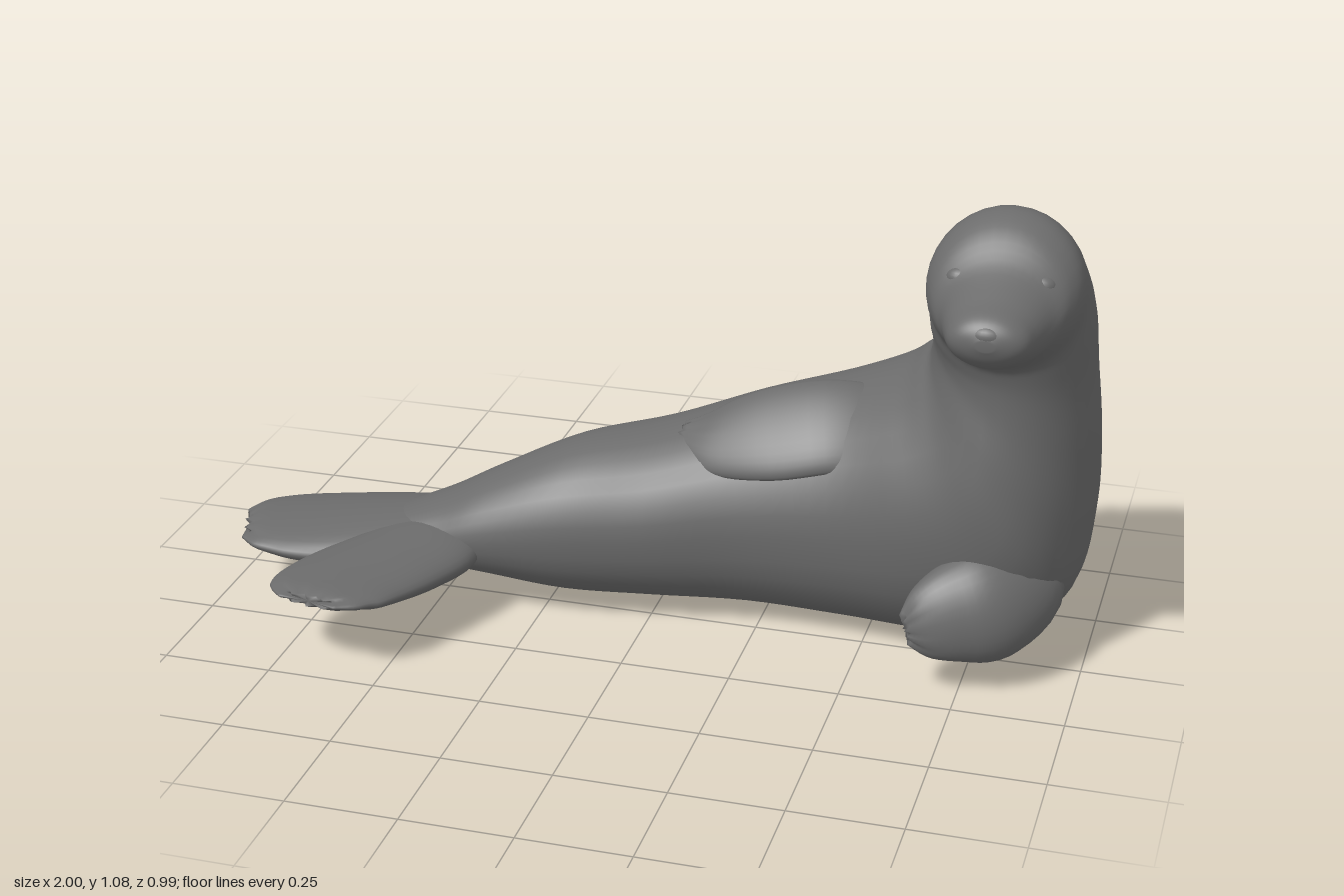
import * as THREE from 'three';

const SEG = 32, SUB = 5;
const material = new THREE.MeshStandardMaterial({ color: 0x6b6b6b });
const V = (x, y, z) => new THREE.Vector3(x, y, z);

// Smoothly resample rows of numbers with a Catmull-Rom spline
function resample(rows) {
  const out = [], n = rows.length;
  const at = i => rows[Math.min(n - 1, Math.max(0, i))];
  for (let i = 0; i < n - 1; i++) {
    for (let s = 0; s < SUB; s++) {
      const t = s / SUB;
      out.push(rows[i].map((p1, k) => {
        const p0 = at(i - 1)[k], p2 = at(i + 1)[k], p3 = at(i + 2)[k];
        return 0.5 * (2 * p1 + (p2 - p0) * t + (2 * p0 - 5 * p1 + 4 * p2 - p3) * t * t
          + (3 * p1 - p0 - 3 * p2 + p3) * t * t * t);
      }));
    }
  }
  out.push(rows[n - 1]);
  return out;
}

// Skin elliptical rings { c, a, b }; a x b points along the travel.
// A power below 1 makes the outer half of the ring fuller.
function loft(name, rings) {
  const pos = [], index = [], last = rings.length - 1;
  rings.forEach(({ c, a, b, power = 1, bend }) => {
    for (let j = 0; j < SEG; j++) {
      const t = j / SEG * Math.PI * 2, e = Math.cos(t) < 0 ? power : 1;
      const full = v => Math.sign(v) * Math.abs(v) ** e;
      const p = c.clone().addScaledVector(a, full(Math.cos(t))).addScaledVector(b, full(Math.sin(t)));
      if (bend) p.add(bend(Math.sin(t)));
      pos.push(p.x, p.y, p.z);
    }
  });
  for (let i = 0; i < last; i++) {
    for (let j = 0; j < SEG; j++) {
      const k = (j + 1) % SEG, p = i * SEG, q = p + SEG;
      index.push(p + j, p + k, q + j, p + k, q + k, q + j);
    }
  }
  // End caps
  const first = pos.length / 3;
  pos.push(...rings[0].c.toArray(), ...rings[last].c.toArray());
  for (let j = 0; j < SEG; j++) {
    const k = (j + 1) % SEG, q = last * SEG;
    index.push(first, k, j, first + 1, q + j, q + k);
  }
  const g = new THREE.BufferGeometry();
  g.setAttribute('position', new THREE.Float32BufferAttribute(pos, 3));
  g.setIndex(index);
  g.computeVertexNormals();
  const mesh = new THREE.Mesh(g, material);
  mesh.name = name;
  return mesh;
}

// Paddle along rows of [x, y, z, half width, half thickness], with toe scallops at the tip
function flipper(name, rows, normal, toe) {
  const pts = resample(rows), n = pts.length;
  const at = i => V(...pts[Math.min(n - 1, Math.max(0, i))].slice(0, 3));
  return loft(name, pts.map((r, i) => {
    const dir = at(i + 1).sub(at(i - 1)).normalize();
    const a = normal.clone().addScaledVector(dir, -normal.dot(dir)).normalize();
    const b = dir.clone().cross(a);
    const f = toe * Math.max(0, (i / (n - 1) - 0.7) / 0.3);
    return {
      c: at(i), a: a.multiplyScalar(r[4]), b: b.multiplyScalar(r[3]),
      bend: s => dir.clone().multiplyScalar(f * Math.cos(s * Math.PI * 4)),
    };
  }));
}

export function createModel() {
  const group = new THREE.Group();
  group.name = 'seal';

  // Sections: inner x, y, outer x, y, back z, front z, drop of the front edge, power
  const trunk = [
    [-0.74, 0.16, -0.74, 0.115, -0.06, 0.08, 0, 1],
    [-0.62, 0.20, -0.62, 0.08, -0.10, 0.11, 0, 1],
    [-0.50, 0.25, -0.50, 0.077, -0.135, 0.12, 0, 1],
    [-0.38, 0.315, -0.38, 0.065, -0.175, 0.13, 0, 0.95],
    [-0.20, 0.395, -0.20, 0.035, -0.26, 0.125, 0, 0.9],
    [0.00, 0.435, 0.00, 0.022, -0.36, 0.095, 0, 0.88],
    [0.20, 0.50, 0.22, 0.012, -0.44, 0.06, 0, 0.86],
    [0.40, 0.565, 0.45, 0.002, -0.485, 0.07, 0, 0.86],
    [0.535, 0.63, 0.68, 0.01, -0.497, 0.115, 0, 0.86],
    [0.585, 0.67, 0.86, 0.055, -0.485, 0.133, 0, 0.88],
    [0.605, 0.69, 0.96, 0.155, -0.47, 0.14, 0, 0.92],
    [0.612, 0.715, 0.993, 0.33, -0.44, 0.13, 0, 0.97],
    [0.615, 0.745, 0.993, 0.52, -0.385, 0.115, -0.01, 1],
    [0.615, 0.785, 0.98, 0.69, -0.32, 0.113, -0.045, 1],
  ];
  const head = [
    [0.615, 0.83, 0.975, 0.81, -0.24, 0.12, -0.085, 1],
    [0.62, 0.885, 0.965, 0.88, -0.15, 0.132, -0.122, 1],
    [0.625, 0.93, 0.96, 0.93, -0.02, 0.157, -0.15, 1],
    [0.645, 0.928, 0.94, 0.928, 0.07, 0.185, -0.135, 1],
    [0.675, 0.90, 0.913, 0.90, 0.145, 0.215, -0.1, 1],
    [0.695, 0.889, 0.89, 0.889, 0.225, 0.255, -0.073, 1],
    [0.71, 0.887, 0.877, 0.887, 0.28, 0.283, -0.056, 1],
    [0.735, 0.888, 0.853, 0.888, 0.304, 0.303, -0.036, 1],
    [0.775, 0.889, 0.813, 0.889, 0.315, 0.315, -0.012, 1],
  ];
  group.add(loft('body', resample([...trunk, ...head]).map(([ix, iy, ox, oy, z0, z1, drop, power]) => ({
    c: V((ix + ox) / 2, (iy + oy) / 2, (z0 + z1) / 2),
    a: V((ix - ox) / 2, (iy - oy) / 2, 0),
    b: V(0, drop, (z1 - z0) / 2),
    power,
  }))));

  // Hind flippers, overlapping as a web up to the notch
  const up = V(0, 1, 0);
  group.add(flipper('rightHindFlipper', [
    [-0.32, 0.18, -0.01, 0.06, 0.05], [-0.48, 0.155, 0.00, 0.13, 0.065],
    [-0.62, 0.142, 0.015, 0.16, 0.062], [-0.76, 0.135, 0.032, 0.162, 0.052],
    [-0.87, 0.135, 0.05, 0.15, 0.04], [-0.94, 0.138, 0.07, 0.12, 0.028], [-0.972, 0.14, 0.08, 0.075, 0.012],
  ], up, 0.01));
  group.add(flipper('leftHindFlipper', [
    [-0.44, 0.17, -0.03, 0.05, 0.03], [-0.495, 0.155, 0.08, 0.125, 0.053],
    [-0.555, 0.152, 0.19, 0.145, 0.052], [-0.61, 0.158, 0.30, 0.15, 0.042],
    [-0.64, 0.167, 0.39, 0.143, 0.031], [-0.65, 0.174, 0.445, 0.115, 0.022], [-0.655, 0.178, 0.475, 0.07, 0.01],
  ], up, 0.01));

  // Fore flippers: one folded on the chest, one lying along the flank
  group.add(flipper('leftForeFlipper', [
    [0.85, 0.25, -0.12, 0.05, 0.05], [0.855, 0.21, 0.0, 0.105, 0.085],
    [0.80, 0.195, 0.095, 0.128, 0.09], [0.73, 0.182, 0.145, 0.112, 0.07],
    [0.67, 0.165, 0.18, 0.08, 0.042], [0.635, 0.155, 0.195, 0.035, 0.015],
  ], V(0.3, 0.3, 1), 0.006));
  group.add(flipper('rightForeFlipper', [
    [0.70, 0.38, -0.20, 0.05, 0.03], [0.56, 0.475, -0.11, 0.10, 0.035], [0.42, 0.505, -0.06, 0.115, 0.035],
    [0.27, 0.475, -0.045, 0.115, 0.034], [0.14, 0.44, -0.05, 0.085, 0.028], [0.05, 0.43, -0.08, 0.035, 0.012],
  ], V(-0.1, 0.72, 0.68), 0.006));

  // Eyes and nose, barely raised
  const bump = (name, x, y, z, sx, sy, sz) => {
    const m = new THREE.Mesh(new THREE.SphereGeometry(1, 20, 14), material);
    m.name = name;
    m.position.set(x, y, z);
    m.scale.set(sx, sy, sz);
    group.add(m);
  };
  for (const s of [-1, 1]) bump(s < 0 ? 'rightEye' : 'leftEye', 0.793 + s * 0.085, 0.962, 0.128, 0.032, 0.024, 0.024);
  bump('nose', 0.794, 0.905, 0.295, 0.035, 0.022, 0.02);

  return group;
}
